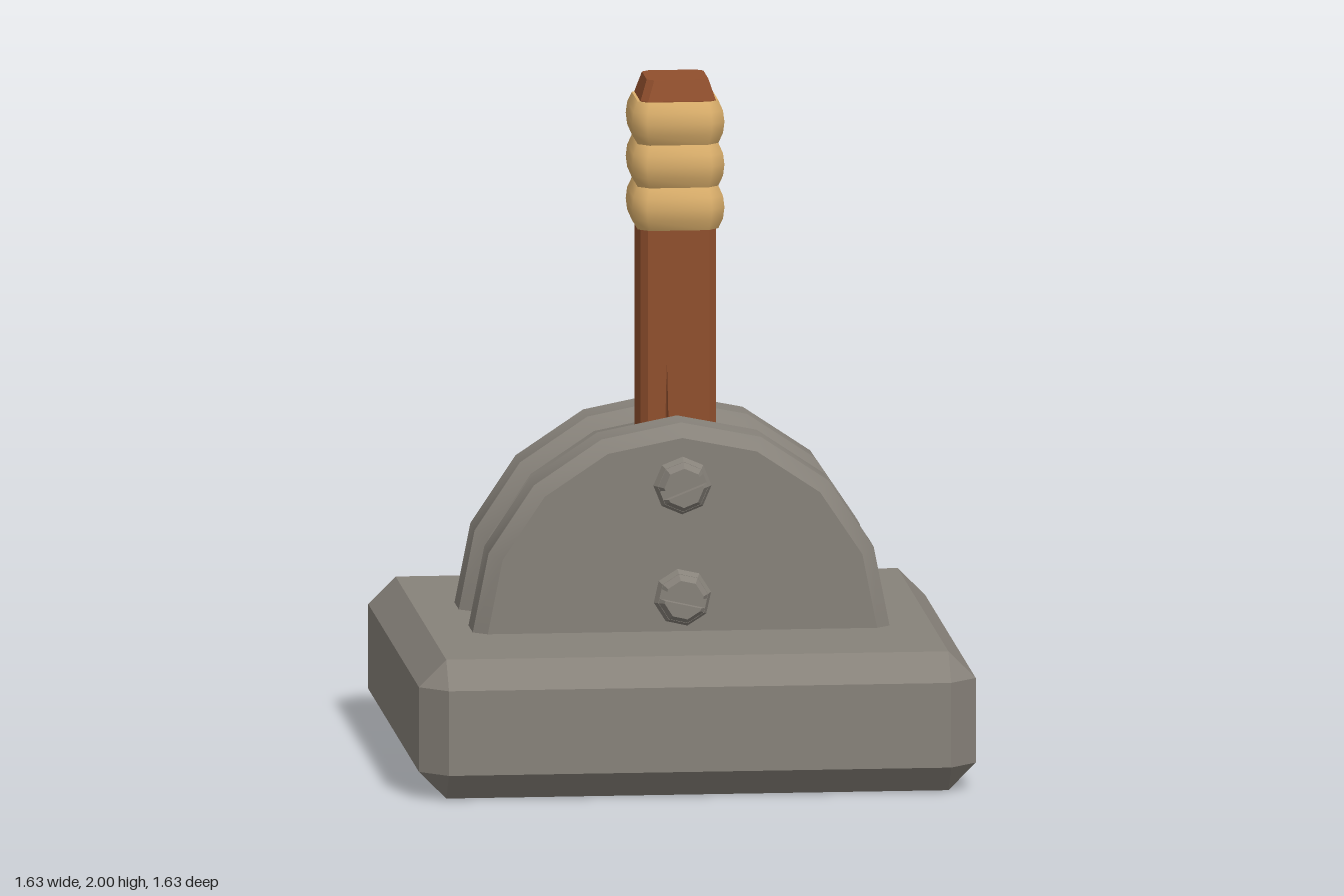
import * as THREE from 'three';
import { toCreasedNormals } from 'three/addons/utils/BufferGeometryUtils.js';
import { ConvexGeometry } from 'three/addons/geometries/ConvexGeometry.js';

const V = (x, y, z) => new THREE.Vector3(x, y, z);

// Box with every edge and corner chamfered by c
function chamferBox(hx, hy, hz, c) {
  const pts = [];
  for (const sx of [-1, 1]) for (const sy of [-1, 1]) for (const sz of [-1, 1]) {
    pts.push(
      V(sx * hx, sy * (hy - c), sz * (hz - c)),
      V(sx * (hx - c), sy * hy, sz * (hz - c)),
      V(sx * (hx - c), sy * (hy - c), sz * hz)
    );
  }
  return new ConvexGeometry(pts);
}

// Upper half of a lathed disc whose axis lies along z; profile is [radius, z]
function halfDisc(profile) {
  const pts = profile.map(([r, z]) => new THREE.Vector2(r, z));
  const geo = new THREE.LatheGeometry(pts, 8, Math.PI / 2, Math.PI);
  geo.rotateX(Math.PI / 2);
  return toCreasedNormals(geo, 0.6);
}

// Skin over stacked rings of equal length; optional cap on the last ring
function loft(rings, crease, cap) {
  const n = rings[0].length, index = [];
  for (let i = 0; i < rings.length - 1; i++) {
    for (let j = 0; j < n; j++) {
      const k = (j + 1) % n, lo = i * n, up = lo + n;
      index.push(lo + j, up + j, up + k, lo + j, up + k, lo + k);
    }
  }
  const last = (rings.length - 1) * n;
  if (cap) for (let j = 1; j < n - 1; j++) index.push(last, last + j + 1, last + j);
  const geo = new THREE.BufferGeometry();
  geo.setAttribute('position', new THREE.Float32BufferAttribute(rings.flat(2), 3));
  geo.setIndex(index);
  return toCreasedNormals(geo, crease);
}

// Square section with cut corners and a V crack of scale s on the left and front faces
function handleRing(y, h, b, s) {
  const e = h - b, cx = -0.035, w = 0.02 * s, d = 0.03 * s, w2 = 0.01 * s;
  return [
    [h, -e], [h, -w], [h - d, 0], [h, w], [h, e],
    [e, h], [cx + w2, h], [cx, h - d], [cx - w2, h], [-e, h],
    [-h, e], [-h, -e], [-e, -h], [e, -h]
  ].map(([x, z]) => [x, y, z]);
}

// Eight-sided square section with cut corners
function octRing(y, h, b) {
  const e = h - b;
  return [[h, -e], [h, e], [e, h], [-e, h], [-h, e], [-h, -e], [-e, -h], [e, -h]]
    .map(([x, z]) => [x, y, z]);
}

// One half of a tapered screw head beside the slot
function screwHalf() {
  const pts = [];
  for (const [r, z] of [[0.074, 0.025], [0.058, 0.055]]) {
    for (let k = 0; k < 4; k++) {
      const a = Math.PI / 8 + k * Math.PI / 4;
      pts.push(V(r * Math.cos(a), r * Math.sin(a), z));
    }
    pts.push(V(r * 0.924, 0.014, z), V(-r * 0.924, 0.014, z));
  }
  return new ConvexGeometry(pts);
}

export function createModel() {
  const stone = new THREE.MeshStandardMaterial({ color: 0x87827a });
  stone.name = 'stone grey';
  const wood = new THREE.MeshStandardMaterial({ color: 0x904f2d });
  wood.name = 'reddish wood';
  const rope = new THREE.MeshStandardMaterial({ color: 0xdcb06c });
  rope.name = 'tan wrap';

  const model = new THREE.Group();
  model.name = 'lever';
  const add = (name, geo, mat, parent = model) => {
    const mesh = new THREE.Mesh(geo, mat);
    mesh.name = name;
    parent.add(mesh);
    return mesh;
  };

  // Base block
  add('base', chamferBox(0.815, 0.205, 0.815, 0.08), stone).position.y = 0.205;

  // Side cheeks and the hub between them
  const cheek = halfDisc([
    [0, -0.1], [0.57, -0.1], [0.61, -0.063], [0.61, 0.063], [0.57, 0.1], [0, 0.1]
  ]);
  for (const s of [1, -1]) {
    add(s > 0 ? 'frontCheek' : 'backCheek', cheek, stone).position.set(0, 0.41, s * 0.203);
  }
  add('hub', halfDisc([[0, -0.12], [0.405, -0.12], [0.405, 0.12], [0, 0.12]]), stone).position.y = 0.41;

  // Slotted screws on both outer faces
  const collar = new THREE.CylinderGeometry(0.074, 0.088, 0.03, 8, 1);
  collar.rotateY(Math.PI / 8);
  collar.rotateX(Math.PI / 2);
  collar.translate(0, 0, 0.012);
  const collarFlat = toCreasedNormals(collar, 0.3);
  const half = screwHalf();
  for (const side of [0, Math.PI]) {
    const face = new THREE.Group();
    face.name = side ? 'backScrews' : 'frontScrews';
    face.rotation.y = side;
    for (const [y, turn] of [[0.84, 0.38], [0.51, -0.22]]) {
      const screw = new THREE.Group();
      screw.name = 'screw';
      screw.position.set(0, y, 0.3);
      screw.rotation.z = turn;
      add('screwCollar', collarFlat, stone, screw);
      add('screwHeadUpper', half, stone, screw);
      add('screwHeadLower', half, stone, screw).rotation.z = Math.PI;
      face.add(screw);
    }
    model.add(face);
  }

  // Handle, slightly off centre, with cracks running up from its foot
  const lever = new THREE.Group();
  lever.name = 'handleAssembly';
  lever.position.set(0.01, 0, -0.01);
  model.add(lever);
  add('handle', loft([
    handleRing(0.7, 0.11, 0.02, 1.24),
    handleRing(1.18, 0.11, 0.02, 0),
    handleRing(1.94, 0.11, 0.02, 0),
    handleRing(2, 0.09, 0.02, 0)
  ], 0.02, true), wood, lever);

  // Three bulging grip wraps
  const wrap = loft([
    [0, 0.1, 0.025], [0, 0.118, 0.032], [0.03, 0.131, 0.038], [0.063, 0.135, 0.04],
    [0.096, 0.131, 0.038], [0.126, 0.118, 0.032], [0.126, 0.1, 0.025]
  ].map(([y, h, b]) => octRing(y, h, b)), 0.9, false);
  for (let i = 0; i < 3; i++) {
    add('gripWrap', wrap, rope, lever).position.y = 1.56 + i * 0.126;
  }

  return model;
}
